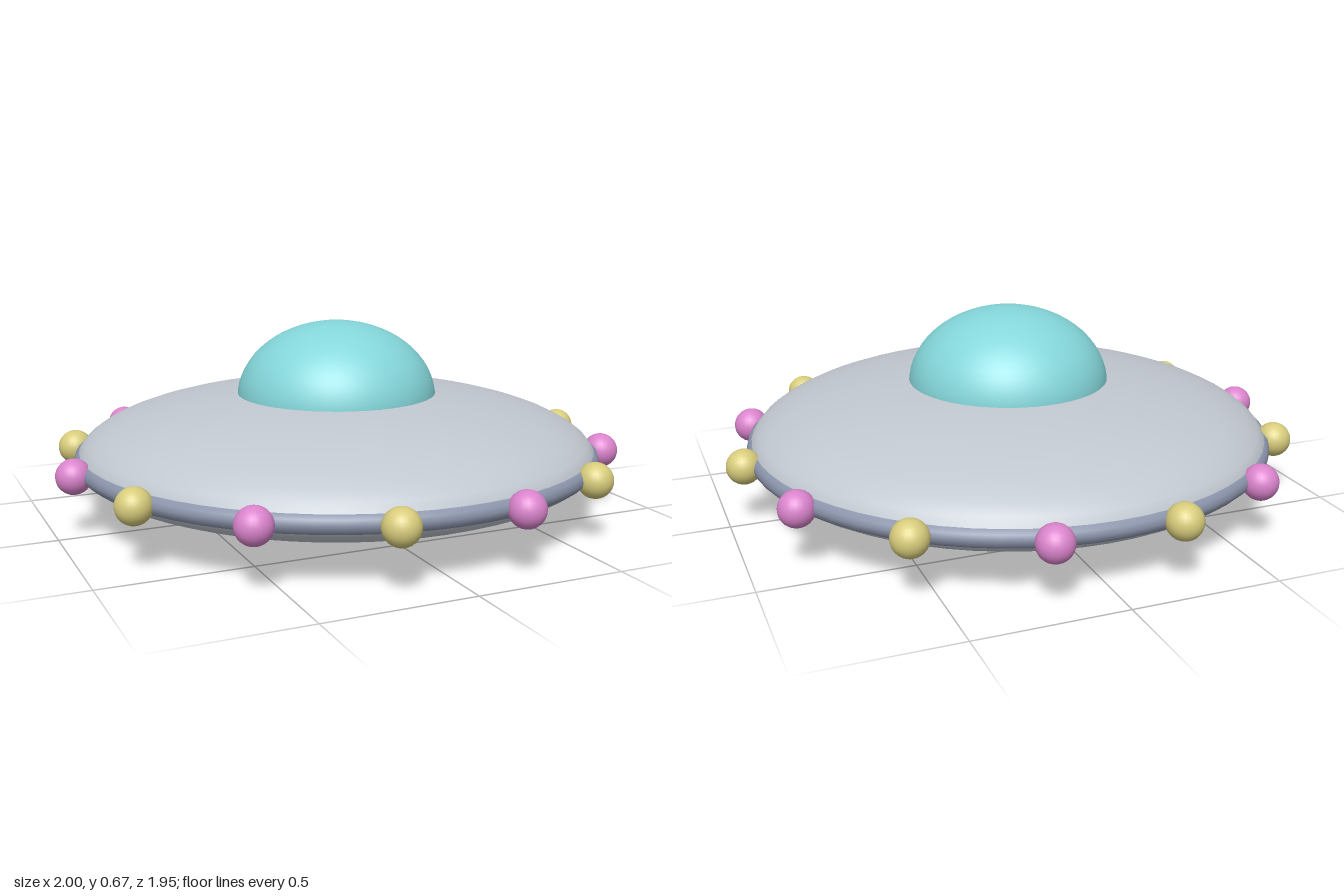
import * as THREE from 'three';

const mat = (name, color) => {
  const m = new THREE.MeshStandardMaterial({ color });
  m.name = name;
  return m;
};

export function createModel() {
  const hullGrey = mat('hullGrey', 0xc2c8d0);
  const rimBlue = mat('rimBlue', 0x8c95ac);
  const domeTeal = mat('domeTeal', 0x84d6da);
  const hatchGreen = mat('hatchGreen', 0x90bc9e);
  const lampPink = mat('lampPink', 0xda84cc);
  const lampYellow = mat('lampYellow', 0xd8cc7c);

  const model = new THREE.Group();
  model.name = 'flyingSaucer';
  const add = (name, geometry, material, y = 0) => {
    const mesh = new THREE.Mesh(geometry, material);
    mesh.name = name;
    mesh.position.y = y;
    model.add(mesh);
    return mesh;
  };

  // Lens-shaped hull: taller above the rim, shallower below
  const rimY = 0.21;
  const steps = 24;
  const profile = [];
  for (let i = 0; i <= steps; i++) {
    const a = -Math.PI / 2 + (Math.PI * i) / steps;
    const height = a > 0 ? 0.226 : 0.182;
    const r = i === 0 || i === steps ? 0 : 0.91 * Math.cos(a);
    profile.push(new THREE.Vector2(r, height * Math.sin(a)));
  }
  add('hull', new THREE.LatheGeometry(profile, 64), hullGrey, rimY);

  // Rim tube around the widest part
  const rim = new THREE.TorusGeometry(0.885, 0.035, 12, 64).rotateX(Math.PI / 2);
  add('rim', rim, rimBlue, rimY);

  // Cockpit dome, slightly flattened
  const dome = new THREE.SphereGeometry(0.35, 48, 16, 0, Math.PI * 2, 0, Math.PI / 2);
  add('dome', dome, domeTeal, 0.4).scale.y = 0.27 / 0.35;

  // Tapered hatch under the hull
  const hatch = [[0, 0], [0.24, 0], [0.29, 0.05]].map(([r, y]) => new THREE.Vector2(r, y));
  add('bottomHatch', new THREE.LatheGeometry(hatch, 48), hatchGreen);

  // Ring of alternating lamps
  const lampGeometry = new THREE.SphereGeometry(0.06, 24, 16);
  const lampCount = 14;
  for (let i = 0; i < lampCount; i++) {
    const a = (i / lampCount) * Math.PI * 2;
    const lamp = add(`lamp${i + 1}`, lampGeometry, i % 2 ? lampPink : lampYellow, rimY);
    lamp.position.x = 0.94 * Math.cos(a);
    lamp.position.z = 0.94 * Math.sin(a);
  }

  return model;
}
